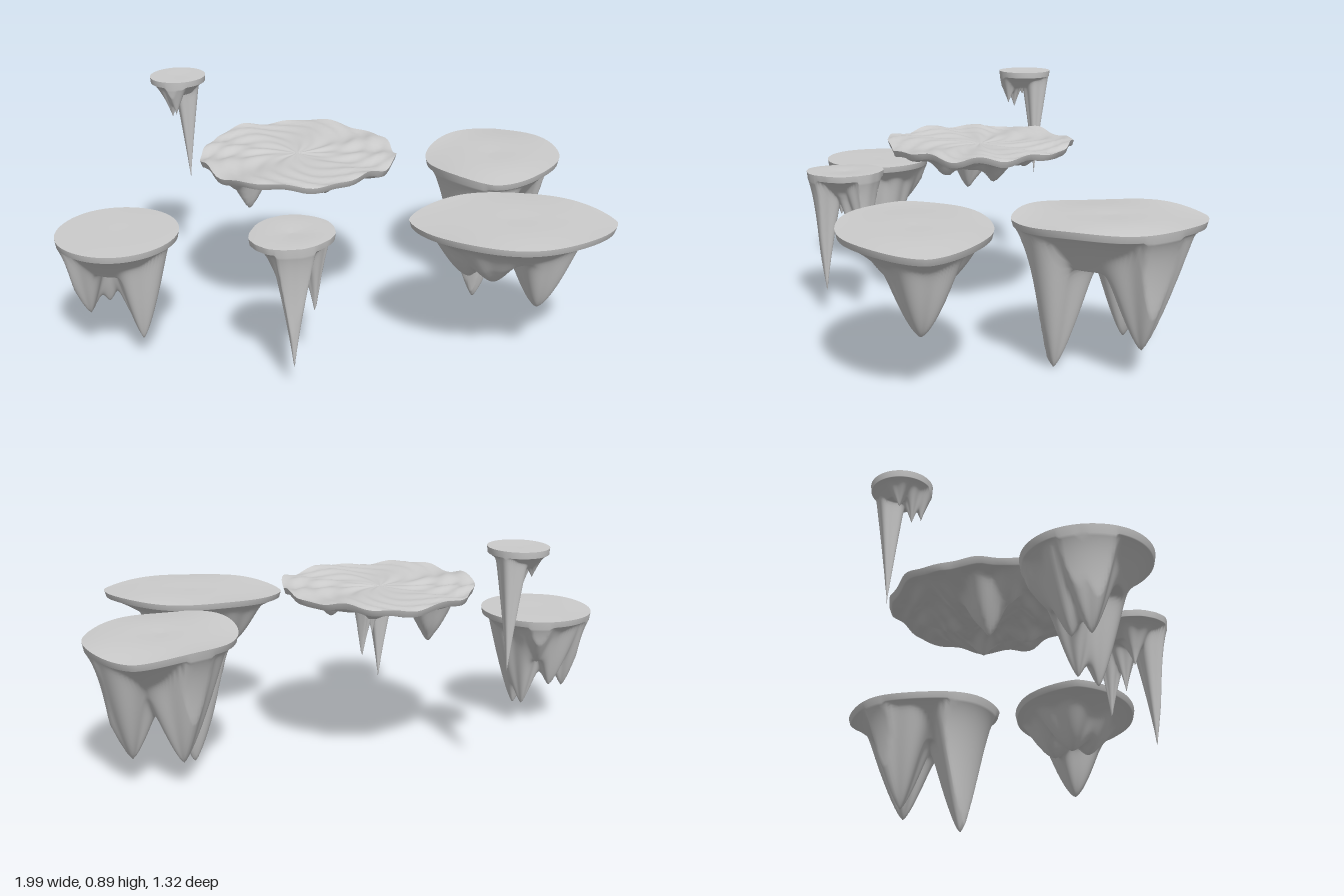
import * as THREE from 'three';

const SEG = 112, RINGS = 56;
const { sin, cos, hypot, atan2, abs, min, max, PI } = Math;

// Skin rings of points; each ring maps a segment index to [x, y, z]
function skin(name, rings) {
  const pos = [], idx = [];
  rings.forEach((ring, r) => {
    for (let s = 0; s < SEG; s++) {
      pos.push(...ring(s));
      if (r === 0) continue;
      const n = (s + 1) % SEG, c = r * SEG + s, d = r * SEG + n;
      idx.push(c - SEG, d - SEG, c, d - SEG, d, c);
    }
  });
  const g = new THREE.BufferGeometry();
  g.setAttribute('position', new THREE.Float32BufferAttribute(pos, 3));
  g.setIndex(idx);
  g.computeVertexNormals();
  const mesh = new THREE.Mesh(g, new THREE.MeshStandardMaterial({ color: 0xcccccc, side: THREE.DoubleSide }));
  mesh.name = name;
  return mesh;
}

// Island: plateau of half sizes rx, rz, flared underside and hanging spikes [x, z, tip height].
// pinchX / pinchZ make the outline pointed, skew leans it, lump makes it irregular.
// spread is the spike radius; taper above 1 makes spikes stout, below 1 slender.
function island({ name, x: cx, z: cz, top, rx, rz, pinchX = 0, pinchZ = 0, skew = 0, lump = 0,
  relief, arch, spread, taper, rough = 0, spikes }) {
  const lip = 0.022;

  const at = (s, f) => {
    const a = (s / SEG) * 2 * PI;
    const k = f * (1 + lump * (sin(3 * a + 1) + 0.6 * sin(7 * a) + 0.3 * sin(16 * a)));
    return [
      cx + k * (rx * cos(a) * abs(cos(a)) ** pinchX + skew * sin(a)),
      cz + k * rz * sin(a) * abs(sin(a)) ** pinchZ];
  };
  const topY = (x, z, f) => top + relief(x - cx, z - cz, f);

  // How far the rock hangs below the plateau; spikes blend softly into the flare
  const depth = (x, z, f) => {
    let d = lip + arch * min(1, 2 * (1 - f)) ** 1.25;
    spikes.forEach(([sx, sz, tip], i) => {
      const ribs = 1 + 0.12 * sin(4 * atan2(z - sz, x - sx) + 2 * i);
      const k = hypot(x - sx, z - sz) / (spread * ribs);
      if (k < 1) d = (d ** 6 + ((top - tip) * (1 - k ** taper)) ** 6) ** (1 / 6);
    });
    d = min(d, lip + 0.4 * (1 - f) / max(f, 0.05) ** 3);
    return d + rough * sin(34 * x + 3 * sin(21 * z)) * sin(31 * z) * min(1, 5 * (1 - f));
  };

  const topRing = f => s => {
    const [x, z] = at(s, f);
    return [x, topY(x, z, f), z];
  };
  const underRing = f => s => {
    const [x, z] = at(s, f);
    return [x, top + relief(x - cx, z - cz, 1) * f - depth(x, z, f), z];
  };

  const tops = Array.from({ length: 17 }, (_, i) => topRing(i / 16));
  const unders = Array.from({ length: RINGS + 1 }, (_, i) => underRing(0.98 * (1 - i / RINGS)));
  const group = new THREE.Group();
  group.name = name;
  group.add(skin('plateau', tops), skin('hangingRock', [topRing(1), ...unders]));
  return group;
}

export function createModel() {
  const model = new THREE.Group();
  model.name = 'floatingIslands';

  // Top surfaces: soft swell, or uneven folds radiating from the middle
  const swell = h => (x, z, f) => h * f * sin(9 * x + 1) * cos(8 * z);
  const folds = (x, z, f) => {
    const a = atan2(z, x);
    return 0.008 * f * (sin(8 * a + 1.5 * sin(2 * a)) + 0.6 * sin(13 * a + 18 * f * f)) - 0.008 * (1 - f);
  };

  model.add(
    island({
      name: 'roundIsland', x: -0.78, z: 0.34, top: 0.49, rx: 0.22, rz: 0.22,
      relief: swell(0.004), arch: 0.11, spread: 0.115, taper: 1.3,
      spikes: [[-0.705, 0.365, 0.07], [-0.735, 0.3, 0.09], [-0.9, 0.34, 0.16], [-0.84, 0.28, 0.18],
        [-0.78, 0.22, 0.3]],
    }),
    island({
      name: 'highIsland', x: -0.64, z: -0.29, top: 0.88, rx: 0.108, rz: 0.108,
      relief: swell(0.003), arch: 0.045, spread: 0.055, taper: 0.9,
      spikes: [[-0.615, -0.33, 0.43], [-0.66, -0.25, 0.72], [-0.69, -0.29, 0.77], [-0.64, -0.22, 0.74]],
    }),
    island({
      name: 'wideIsland', x: -0.155, z: -0.015, top: 0.67, rx: 0.363, rz: 0.363, lump: 0.022,
      relief: folds, arch: 0.045, spread: 0.12, taper: 1.1, rough: 0.012,
      spikes: [[-0.34, 0, 0.44], [-0.38, 0.08, 0.55], [-0.05, 0.12, 0.56], [0.03, -0.03, 0.56],
        [-0.12, -0.17, 0.57]],
    }),
    island({
      name: 'smallFrontIsland', x: -0.143, z: 0.515, top: 0.57, rx: 0.147, rz: 0.147, lump: 0.015,
      relief: swell(0.014), arch: 0.06, spread: 0.08, taper: 0.8,
      spikes: [[-0.135, 0.598, 0.07], [-0.07, 0.445, 0.21], [-0.11, 0.5, 0.31], [-0.19, 0.53, 0.38]],
    }),
    island({
      name: 'pointedIsland', x: 0.627, z: 0.33, top: 0.55, rx: 0.367, rz: 0.258, pinchZ: 0.3,
      relief: swell(0.009), arch: 0.1, spread: 0.145, taper: 1.5,
      spikes: [[0.73, 0.325, 0.2], [0.48, 0.31, 0.32], [0.56, 0.38, 0.33], [0.62, 0.24, 0.34]],
    }),
    island({
      name: 'eggIsland', x: 0.615, z: -0.33, top: 0.555, rx: 0.27, rz: 0.333, pinchX: 0.3, skew: -0.025,
      relief: swell(0.014), arch: 0.15, spread: 0.165, taper: 1.3,
      spikes: [[0.545, -0.16, -0.01], [0.72, -0.42, 0.1], [0.535, -0.41, 0.09]],
    }),
  );
  return model;
}
